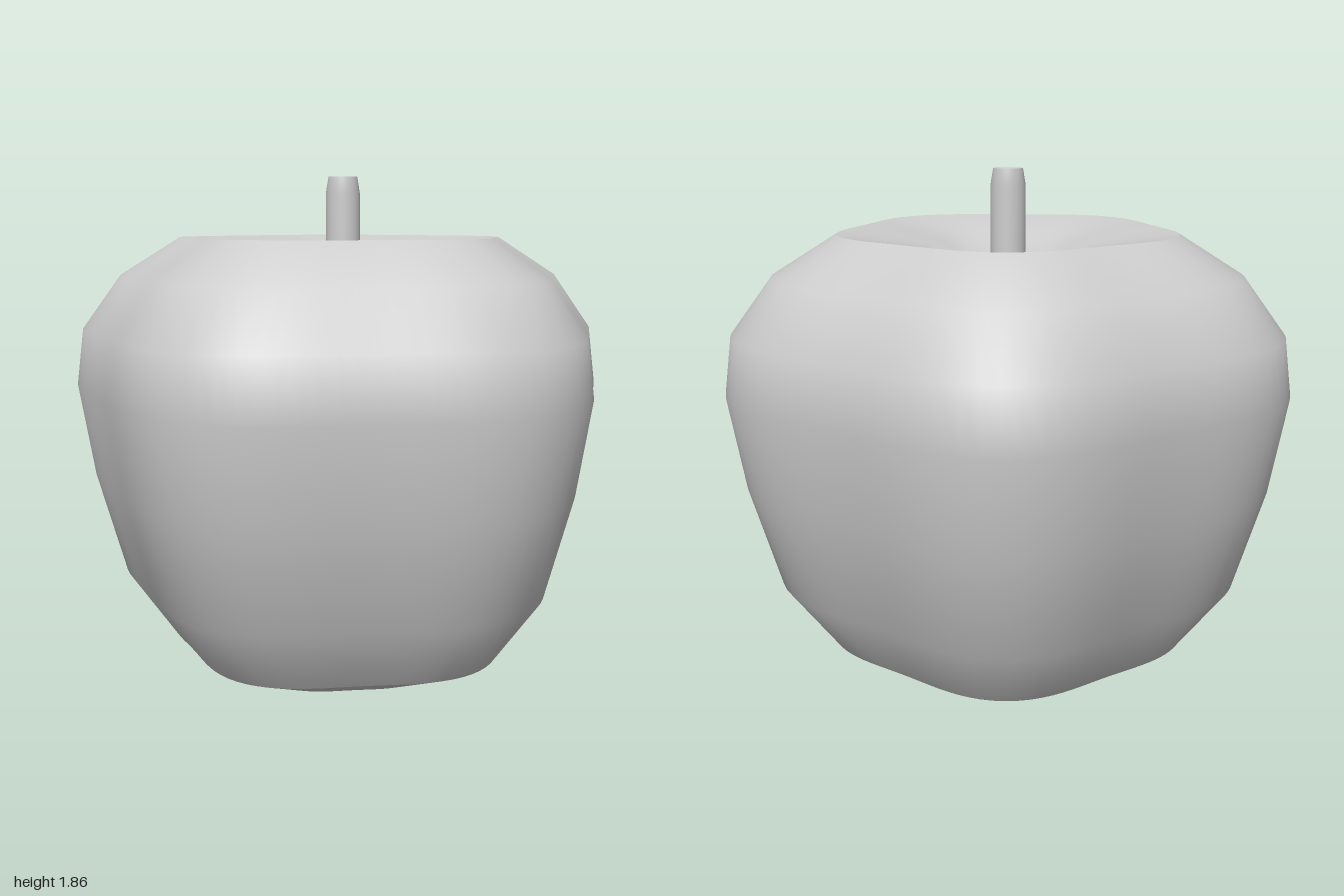
import * as THREE from 'three';
import { mergeVertices } from 'three/addons/utils/BufferGeometryUtils.js';

const SEGMENTS = 100;
const AXIS_X = -0.05; // the core sits slightly off centre

// Spins a [radius, y] profile, bottom to top, with five soft lobes of the given depth
function lobedLathe(profile, lobe) {
  const points = profile.map(([r, y]) => new THREE.Vector2(r, y));
  let geometry = new THREE.LatheGeometry(points, SEGMENTS);
  const pos = geometry.attributes.position;
  for (let i = 0; i < pos.count; i++) {
    const x = pos.getX(i), z = pos.getZ(i);
    const k = 1 + lobe * Math.cos(5 * Math.atan2(z, x));
    pos.setXYZ(i, x * k + AXIS_X, pos.getY(i), z * k);
  }
  // Weld the seam so the shading stays smooth all the way round
  geometry.deleteAttribute('uv');
  geometry.deleteAttribute('normal');
  geometry = mergeVertices(geometry, 1e-5);
  geometry.computeVertexNormals();
  return geometry;
}

export function createModel() {
  const group = new THREE.Group();
  group.name = 'apple';
  const grey = new THREE.MeshStandardMaterial({ color: 0xcccccc, side: THREE.DoubleSide });
  grey.name = 'plain grey';

  const add = (name, profile, lobe = 0) => {
    const mesh = new THREE.Mesh(lobedLathe(profile, lobe), grey);
    mesh.name = name;
    group.add(mesh);
  };

  // Fruit, in bands that meet at sharp edges
  add('bottomDimple', [[0, 0.07], [0.36, 0]], 0.05);
  add('underside', [[0.36, 0], [0.645, 0.125]], 0.05);
  add('skin', [
    [0.645, 0.125], [0.82, 0.37], [0.925, 0.75], [0.98, 1.09],
    [0.953, 1.3], [0.81, 1.5], [0.59, 1.64],
  ], 0.05);
  add('topHollow', [[0.59, 1.64], [0.29, 1.585], [0, 1.38]], 0.05);

  // Stem with a tapered, slightly dished tip
  add('stem', [[0.063, 1.36], [0.063, 1.8], [0.053, 1.86]]);
  add('stemTip', [[0.053, 1.86], [0, 1.845]]);

  return group;
}
